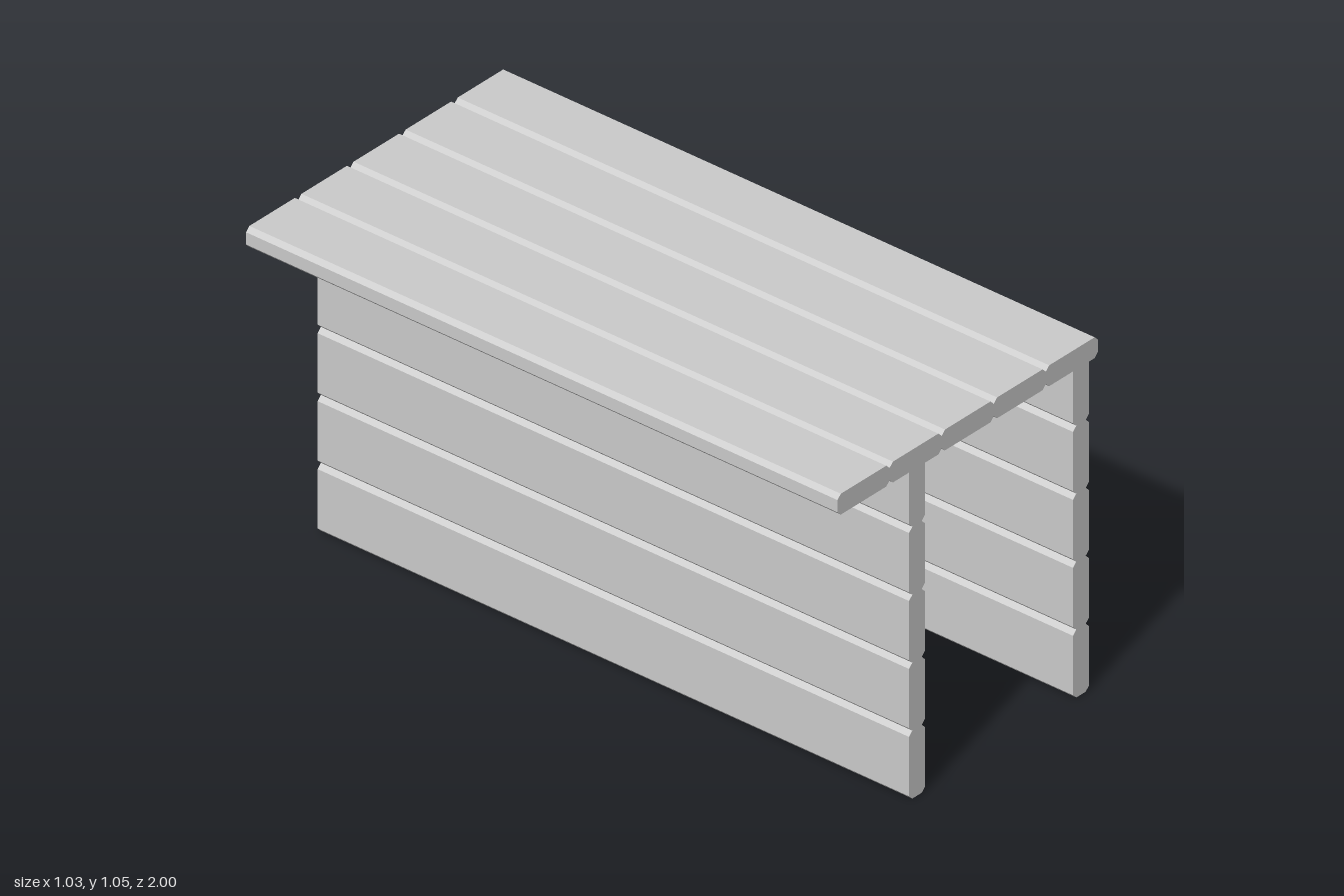
import * as THREE from 'three';

const LENGTH = 2, PITCH = 0.2055, THICK = 0.063, BEVEL = 0.013;
const TOP = 1.055, UNDERSIDE = TOP - THICK;

// Long plank with chamfered edges; squareTop leaves the upper end unbevelled for a butt joint
function plank(name, x0, y0, x1, y1, material, squareTop = false) {
  const b = BEVEL, t = squareTop ? 0 : BEVEL;
  const points = [[x0 + b, y0], [x1 - b, y0], [x1, y0 + b], [x1, y1 - t]];
  if (squareTop) points.push([x0, y1]);
  else points.push([x1 - b, y1], [x0 + b, y1], [x0, y1 - b]);
  points.push([x0, y0 + b]);
  const shape = new THREE.Shape(points.map(([x, y]) => new THREE.Vector2(x, y)));
  const geometry = new THREE.ExtrudeGeometry(shape, { depth: LENGTH, bevelEnabled: false });
  geometry.translate(0, 0, -LENGTH / 2);
  const mesh = new THREE.Mesh(geometry, material);
  mesh.name = name;
  return mesh;
}

export function createModel() {
  const model = new THREE.Group();
  model.name = 'plankShelter';
  const material = new THREE.MeshStandardMaterial({ color: 0xcccccc, flatShading: true });

  // Roof: five planks side by side
  const roof = new THREE.Group();
  roof.name = 'roof';
  for (let i = 0; i < 5; i++) {
    const x = (i - 2.5) * PITCH;
    roof.add(plank('roofPlank', x, UNDERSIDE, x + PITCH, TOP, material));
  }
  model.add(roof);

  // Walls: stacked planks, the uppermost cut square under the roof
  for (const [name, x] of [['rightWall', -0.2], ['leftWall', 0.447]]) {
    const wall = new THREE.Group();
    wall.name = name;
    for (let i = 0; i < 5; i++) {
      const last = i === 4;
      const y1 = last ? UNDERSIDE : (i + 1) * PITCH;
      wall.add(plank('wallPlank', x - THICK / 2, i * PITCH, x + THICK / 2, y1, material, last));
    }
    model.add(wall);
  }
  return model;
}
